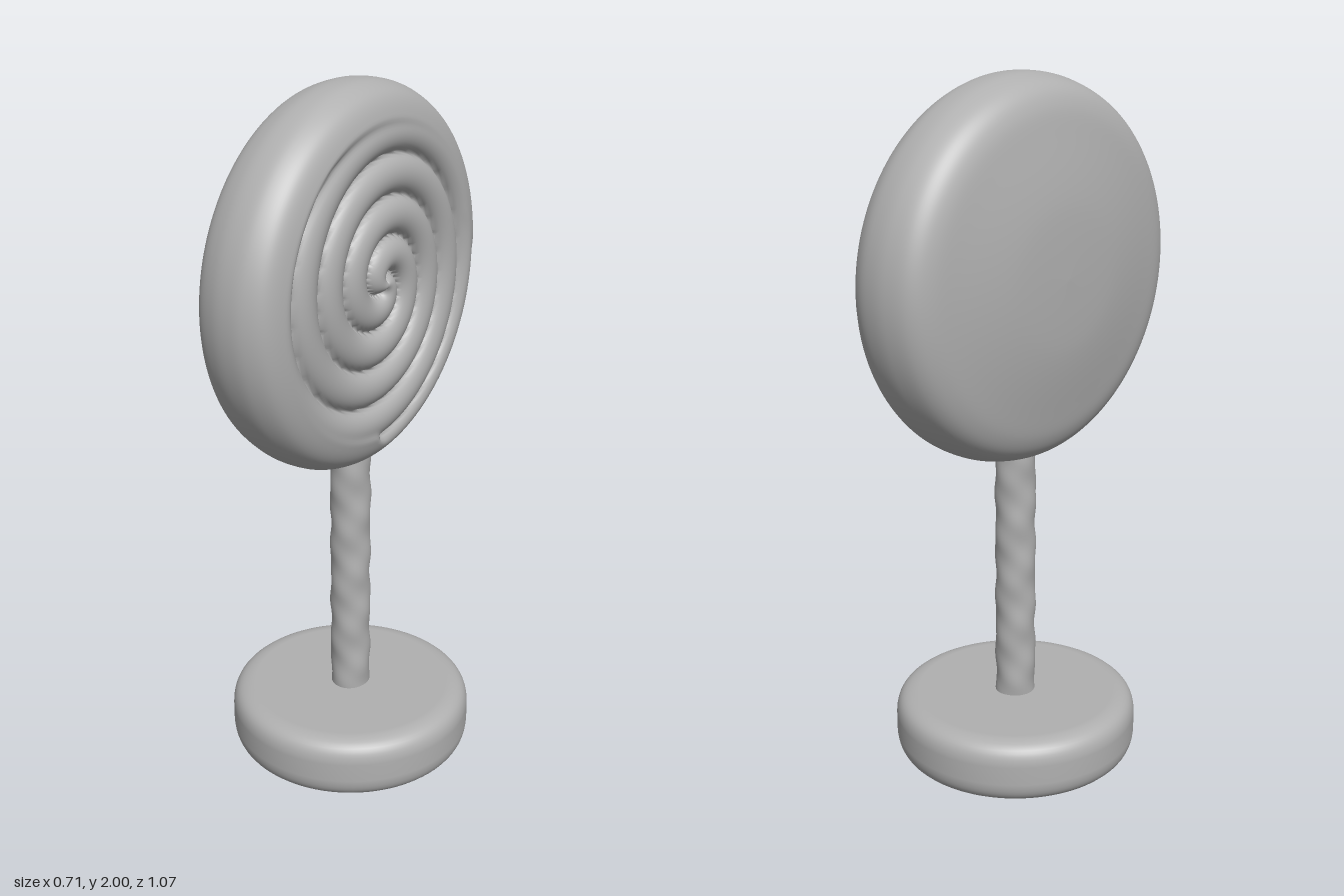
import * as THREE from 'three';
import { mergeVertices } from 'three/addons/utils/BufferGeometryUtils.js';

const candyGrey = new THREE.MeshStandardMaterial({ color: 0xb0b0b0 });
candyGrey.name = 'candyGrey';

// Weld a geometry's seams and give it smooth normals
function smooth(geometry) {
  geometry.deleteAttribute('uv');
  geometry.deleteAttribute('normal');
  const welded = mergeVertices(geometry, 1e-4);
  welded.computeVertexNormals();
  return welded;
}

// Rounded profile from [radius, height] pairs, turned around y
function turned(pairs, steps, segments) {
  const curve = new THREE.SplineCurve(pairs.map(([r, h]) => new THREE.Vector2(r, h)));
  const points = curve.getSpacedPoints(steps);
  points.forEach((p) => { p.x = Math.max(p.x, 0); });
  points[0].x = points[steps].x = 0;
  return new THREE.LatheGeometry(points, segments);
}

// Depth of the two-armed spiral groove at a point of the face
function grooveDepth(r, angle) {
  const spacing = 0.11;
  const phase = (r - 2 * spacing * angle / (2 * Math.PI) - 0.01) / spacing;
  const across = Math.abs(phase - Math.round(phase)) * 2; // 0 in a groove, 1 on a ridge
  const depth = 0.045 * (1 - Math.sqrt(1 - (1 - across) ** 2));
  const fade = THREE.MathUtils.smoothstep;
  // the outer groove runs out through the rim near the stick
  const tail = fade(angle, 1.3, 1.7) * (1 - fade(angle, 3.0, 3.25));
  const limit = 0.405 + 0.07 * tail;
  return depth * (1 - fade(r, limit, limit + 0.035)) * fade(r, 0, 0.03);
}

function createDisc() {
  const geometry = turned([
    [0, -0.195], [0.2, -0.187], [0.38, -0.158], [0.46, -0.138], [0.505, -0.105],
    [0.528, -0.05], [0.533, 0], [0.526, 0.045], [0.5, 0.088], [0.455, 0.112],
    [0.4, 0.119], [0.2, 0.124], [0, 0.126],
  ], 170, 200);
  geometry.rotateZ(-Math.PI / 2);
  // press the spiral into the +x face
  const pos = geometry.attributes.position;
  for (let i = 0; i < pos.count; i++) {
    const x = pos.getX(i), y = pos.getY(i), z = pos.getZ(i);
    if (x < 0.05) continue;
    let angle = Math.atan2(-z, y);
    if (angle < 0) angle += 2 * Math.PI;
    pos.setX(i, x - grooveDepth(Math.hypot(y, z), angle));
  }
  const disc = new THREE.Mesh(smooth(geometry), candyGrey);
  disc.name = 'swirlDisc';
  disc.position.y = 1.467;
  disc.rotation.y = -0.04;
  return disc;
}

function createStick() {
  const geometry = new THREE.CylinderGeometry(0.058, 0.058, 0.86, 32, 80, true);
  // slightly lumpy surface
  const pos = geometry.attributes.position;
  for (let i = 0; i < pos.count; i++) {
    const x = pos.getX(i), y = pos.getY(i), z = pos.getZ(i);
    const a = Math.atan2(z, x);
    const k = 1 + 0.03 * Math.sin(2 * a + 38 * y) + 0.02 * Math.sin(3 * a - 61 * y);
    pos.setX(i, x * k);
    pos.setZ(i, z * k);
  }
  const stick = new THREE.Mesh(smooth(geometry), candyGrey);
  stick.name = 'stick';
  stick.position.y = 0.57;
  return stick;
}

function createBase() {
  // outline with rounded corners
  const shape = new THREE.Path();
  shape.moveTo(0, 0);
  shape.lineTo(0.29, 0);
  shape.bezierCurveTo(0.34, 0.003, 0.355, 0.03, 0.357, 0.07);
  shape.lineTo(0.357, 0.125);
  shape.bezierCurveTo(0.355, 0.165, 0.34, 0.187, 0.29, 0.19);
  shape.lineTo(0, 0.19);
  const base = new THREE.Mesh(smooth(new THREE.LatheGeometry(shape.getPoints(10), 96)), candyGrey);
  base.name = 'base';
  return base;
}

export function createModel() {
  const model = new THREE.Group();
  model.name = 'lollipopStand';
  model.add(createBase(), createStick(), createDisc());
  return model;
}
